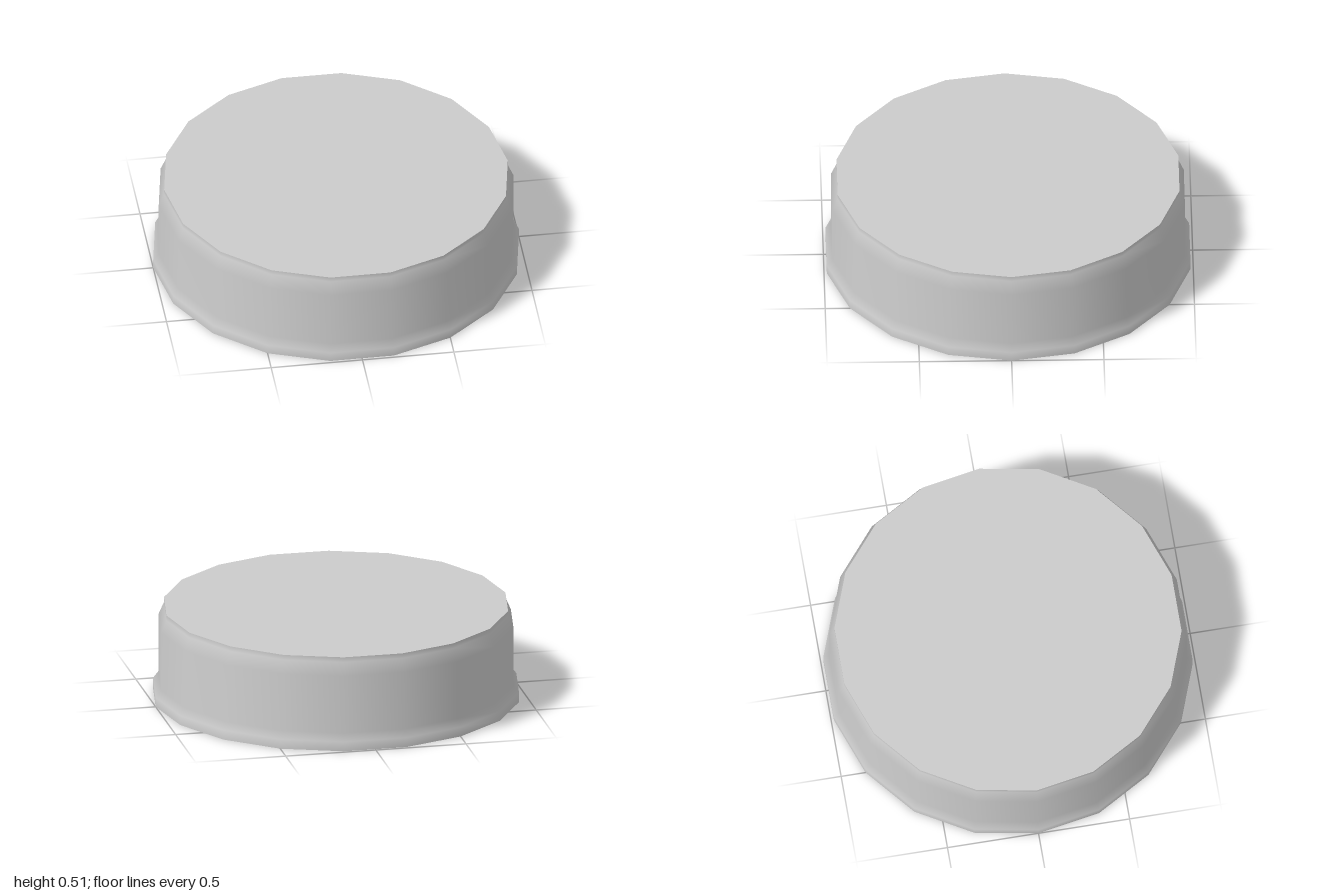
import * as THREE from 'three';

const SIDES = 18;
const HEIGHT = 0.515;

export function createModel() {
  const group = new THREE.Group();
  group.name = 'roundBase';
  const material = new THREE.MeshStandardMaterial({ color: 0xcccccc });

  const add = (name, geometry, y = 0) => {
    const mesh = new THREE.Mesh(geometry, material);
    mesh.name = name;
    mesh.position.y = y;
    group.add(mesh);
  };

  // Smooth side wall: wide foot, straight band, narrower top rim
  const profile = [
    [1, 0], [1, 0.053], [0.97, 0.093],
    [0.97, 0.417], [0.94, 0.487], [0.94, HEIGHT],
  ].map(([r, y]) => new THREE.Vector2(r, y));
  add('sideWall', new THREE.LatheGeometry(profile, SIDES, Math.PI / 2));

  // Flat caps, corners aligned with the wall
  add('topFace', new THREE.CircleGeometry(0.94, SIDES).rotateX(-Math.PI / 2), HEIGHT);
  add('bottomFace', new THREE.CircleGeometry(1, SIDES).rotateX(Math.PI / 2));

  return group;
}
